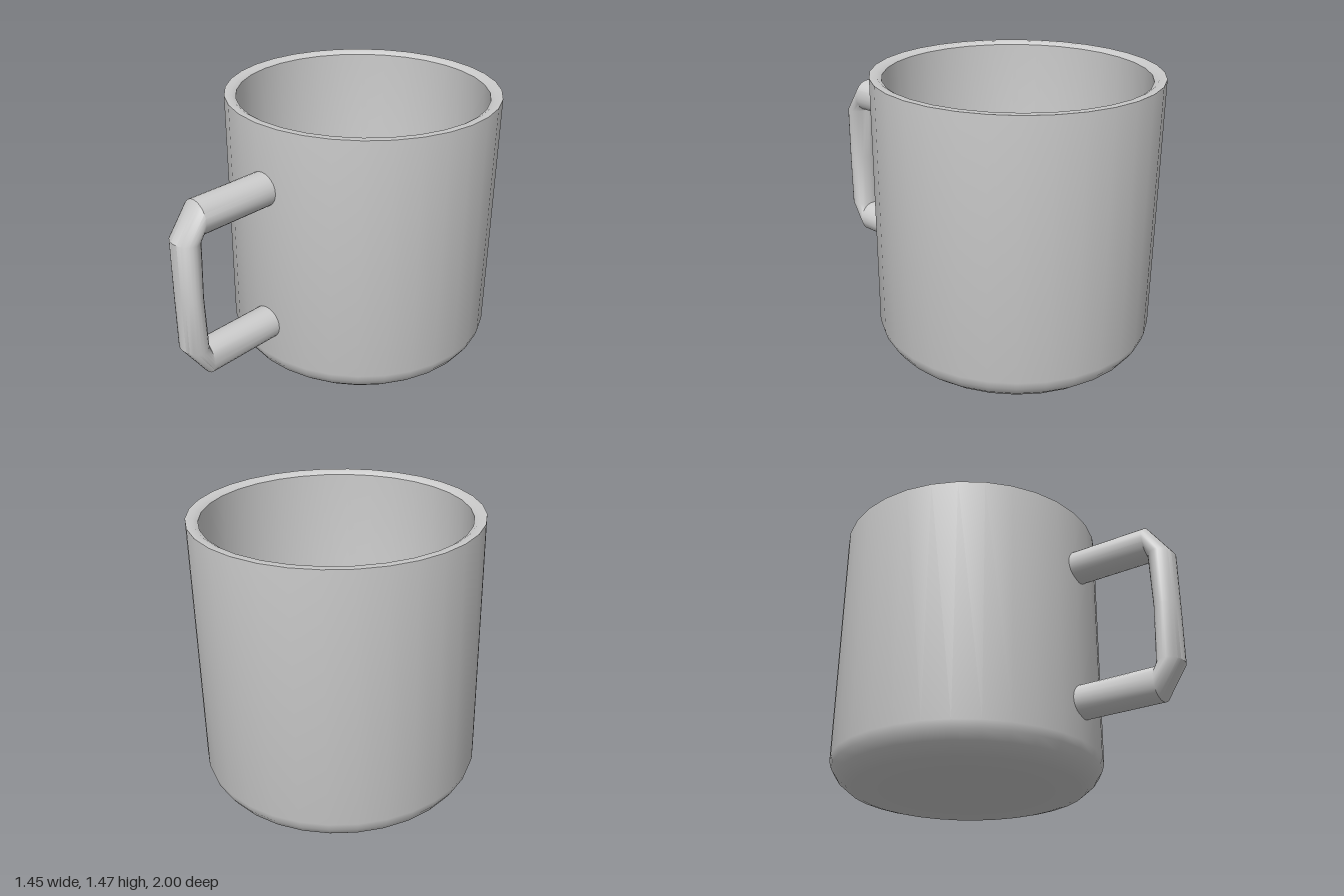
import * as THREE from 'three';
import { toCreasedNormals } from 'three/addons/utils/BufferGeometryUtils.js';

const SIDES = 24;

// Skins a closed tube through elliptical rings; each ring is spanned by the x axis and a vector v.
function loft(rings) {
  const pos = [], idx = [];
  for (const { c, v, rx = 0.09 } of rings) {
    for (let i = 0; i < SIDES; i++) {
      const t = (i / SIDES) * Math.PI * 2;
      const k = Math.sin(t);
      pos.push(c[0] + rx * Math.cos(t), c[1] + v[0] * k, c[2] + v[1] * k);
    }
  }
  for (let r = 0; r < rings.length - 1; r++) {
    for (let i = 0; i < SIDES; i++) {
      const j = (i + 1) % SIDES;
      const a = r * SIDES + i, b = r * SIDES + j;
      idx.push(a, b, b + SIDES, a, b + SIDES, a + SIDES);
    }
  }
  const g = new THREE.BufferGeometry();
  g.setAttribute('position', new THREE.Float32BufferAttribute(pos, 3));
  g.setIndex(idx);
  return g;
}

export function createModel() {
  const model = new THREE.Group();
  const material = new THREE.MeshStandardMaterial({ color: 0xcccccc });
  const add = (name, geometry) => {
    const mesh = new THREE.Mesh(toCreasedNormals(geometry, 0.6), material);
    mesh.name = name;
    model.add(mesh);
    return mesh;
  };

  // Cup: rounded foot, straight wall, thin rim, rounded inside floor
  const profile = [
    [0, 0], [0.59, 0], [0.635, 0.013], [0.685, 0.055], [0.715, 0.1], [0.727, 0.14],
    [0.727, 1.465], [0.69, 1.465], [0.667, 1.45],
    [0.667, 0.19], [0.655, 0.14], [0.62, 0.09], [0.56, 0.065], [0, 0.065],
  ].map(([x, y]) => new THREE.Vector2(x, y));
  add('cup', new THREE.LatheGeometry(profile, 32)).position.z = -0.273;

  // Handle: two legs leaning slightly sideways, joined by a flattened grip with bevelled corners
  add('handle', loft([
    { c: [0.033, 1.127, 0.42], v: [0.09, 0] },
    { c: [0.06, 1.127, 0.87], v: [0.09, 0] },
    { c: [0.06, 1.033, 0.934], v: [0, 0.066] },
    { c: [0.06, 0.735, 0.94], v: [0, 0.06] },
    { c: [0.06, 0.438, 0.934], v: [0, 0.066] },
    { c: [0.06, 0.348, 0.875], v: [-0.09, 0] },
    { c: [0.033, 0.348, 0.42], v: [-0.09, 0] },
  ]));

  return model;
}
